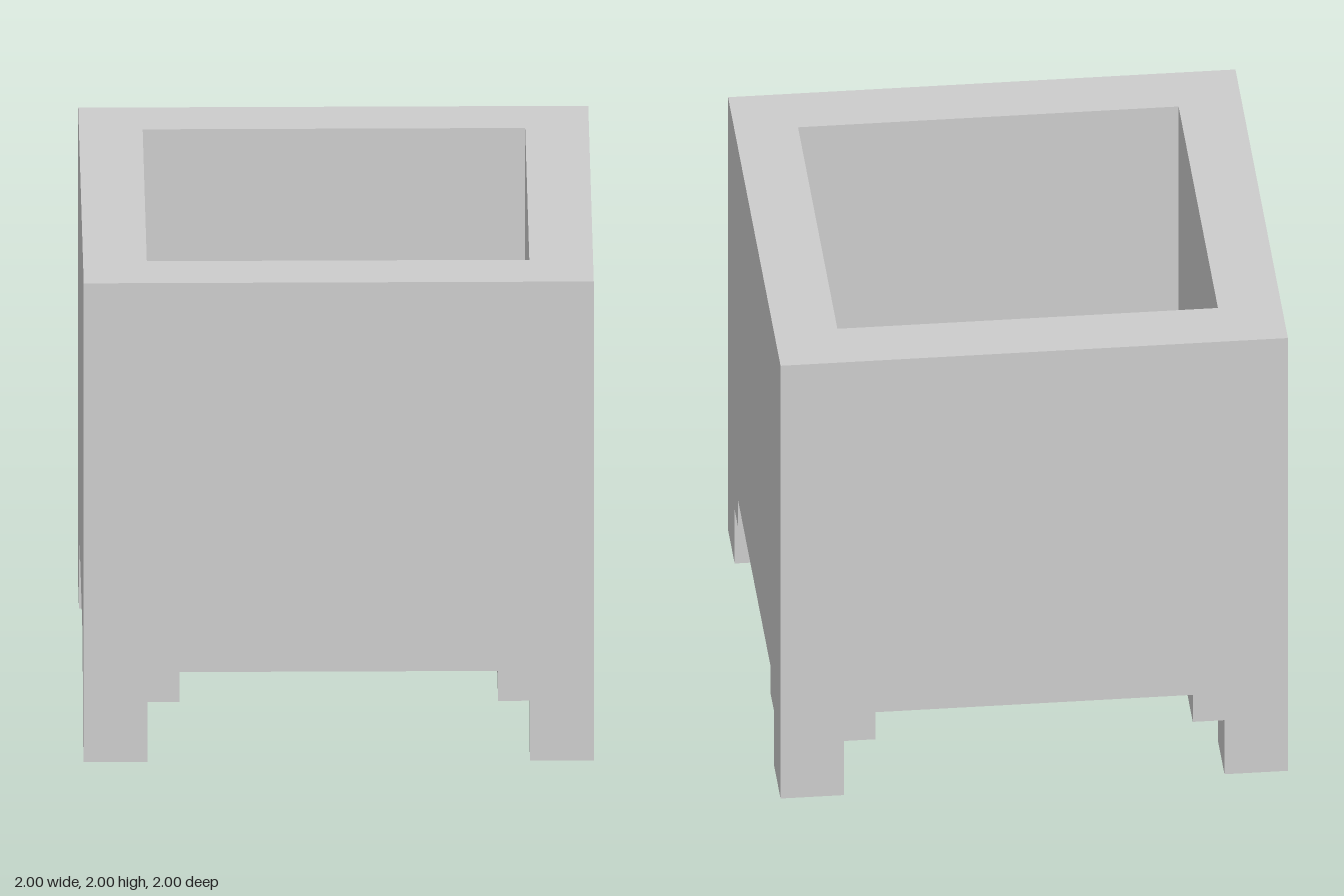
import * as THREE from 'three';

const material = new THREE.MeshStandardMaterial({ color: 0xcccccc, flatShading: true });

// Square outline centred on the origin
function square(half, PathType) {
  const path = new PathType();
  path.moveTo(-half, -half);
  path.lineTo(half, -half);
  path.lineTo(half, half);
  path.lineTo(-half, half);
  path.closePath();
  return path;
}

function box(name, width, height, x, bottom, z) {
  const mesh = new THREE.Mesh(new THREE.BoxGeometry(width, height, width), material);
  mesh.name = name;
  mesh.position.set(x, bottom + height / 2, z);
  return mesh;
}

export function createModel() {
  const group = new THREE.Group();
  group.name = 'planter';

  const underside = 0.375, top = 2, inner = 0.75;

  // Four thick walls around a square opening
  const outline = square(1, THREE.Shape);
  outline.holes.push(square(inner, THREE.Path));
  const wallGeometry = new THREE.ExtrudeGeometry(outline, { depth: top - underside, bevelEnabled: false });
  wallGeometry.rotateX(-Math.PI / 2);
  const walls = new THREE.Mesh(wallGeometry, material);
  walls.name = 'walls';
  walls.position.y = underside;
  group.add(walls);

  // Floor plate closing the bottom of the opening
  group.add(box('floor', inner * 2, 0.125, 0, underside, 0));

  // Stepped foot at each corner: wide bracket above a narrower leg
  for (const sx of [-1, 1]) {
    for (const sz of [-1, 1]) {
      const foot = new THREE.Group();
      foot.name = (sz > 0 ? 'front' : 'back') + (sx > 0 ? 'Left' : 'Right') + 'Foot';
      foot.add(box('bracket', 0.375, 0.125, sx * 0.8125, 0.25, sz * 0.8125));
      foot.add(box('leg', 0.25, 0.25, sx * 0.875, 0, sz * 0.875));
      group.add(foot);
    }
  }

  return group;
}
